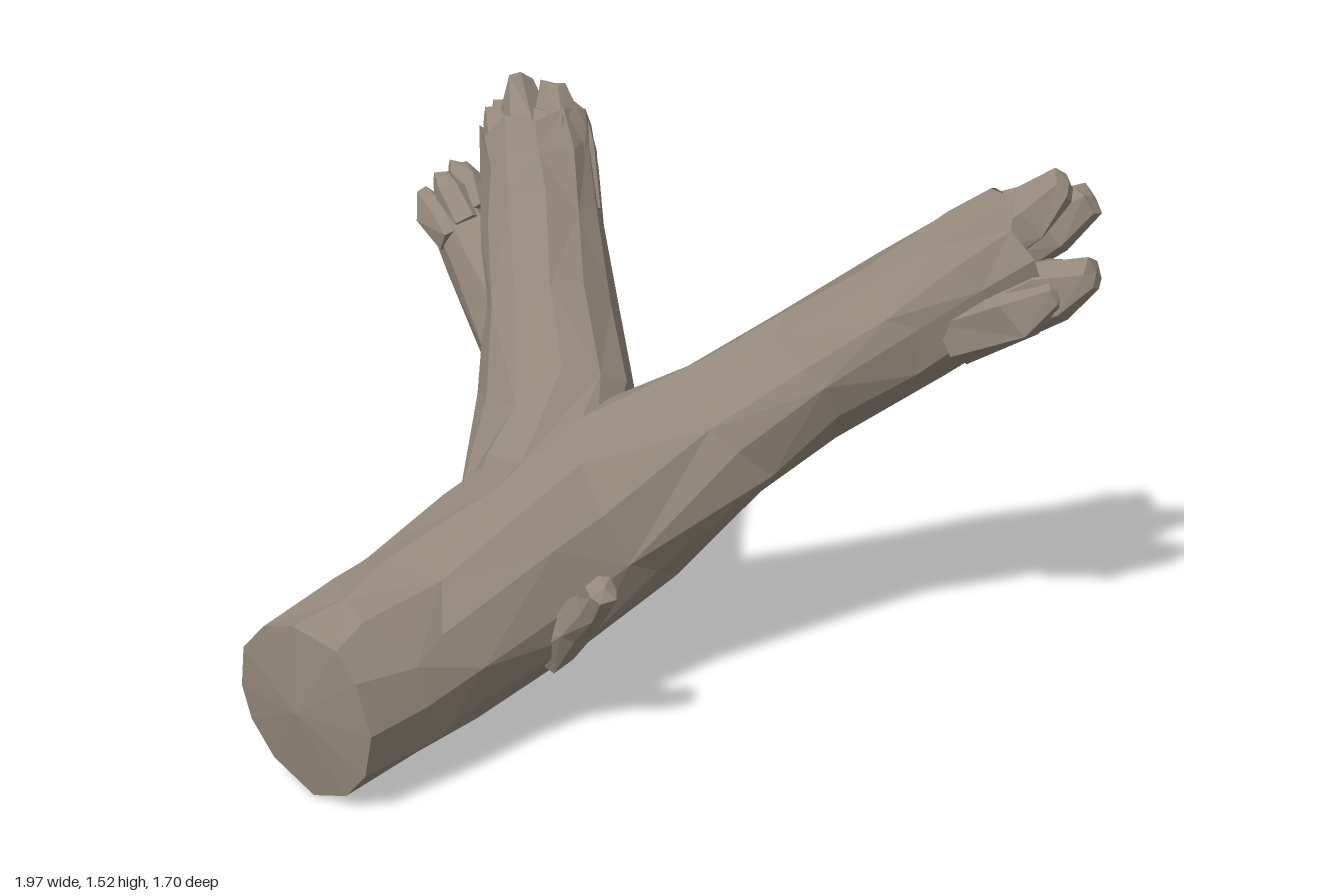
import * as THREE from 'three';

const V = (a) => new THREE.Vector3(...a);
const bark = new THREE.MeshStandardMaterial({ color: 0x94877a, flatShading: true });

// Seeded wobble in the range -1..1
function makeRandom(seed) {
  let s = seed * 7919 + 17;
  return () => {
    s = (s * 16807) % 2147483647;
    return (s / 2147483647) * 2 - 1;
  };
}

// Faceted limb through stations [x, y, z, radius]
function limb(name, stations, { sides = 12, seed = 1, wobble = 0.05, startAxis, ragged = 0, startDome = 0, endDome = 0 } = {}) {
  const rnd = makeRandom(seed);
  const centres = stations.map((s) => V(s.slice(0, 3)));
  const last = centres.length - 1;
  const pos = [];
  const index = [];
  const axes = centres.map((c, i) => {
    if (i === 0 && startAxis) return V(startAxis).normalize();
    return centres[Math.min(i + 1, last)].clone().sub(centres[Math.max(i - 1, 0)]).normalize();
  });

  centres.forEach((c, i) => {
    const t = axes[i];
    const u = new THREE.Vector3(0, 1, 0).addScaledVector(t, -t.y).normalize();
    const v = t.clone().cross(u);
    const r = stations[i][3];
    for (let j = 0; j < sides; j++) {
      const a = ((j + rnd() * 0.18) / sides) * Math.PI * 2;
      const rr = r * (1 + rnd() * wobble);
      const slide = i === 0 ? 0 : i === last ? rnd() * ragged : rnd() * r * 0.25;
      const p = c.clone().addScaledVector(u, Math.cos(a) * rr).addScaledVector(v, Math.sin(a) * rr).addScaledVector(t, slide);
      pos.push(p.x, p.y, p.z);
    }
  });

  // Side facets, with the diagonal alternating
  for (let i = 0; i < last; i++) {
    for (let j = 0; j < sides; j++) {
      const k = (j + 1) % sides;
      const a = i * sides + j, b = i * sides + k, c = b + sides, d = a + sides;
      if ((i + j) % 2) index.push(a, b, c, a, c, d);
      else index.push(a, b, d, b, c, d);
    }
  }

  // End caps fanned from a raised or sunken centre
  const first = centres[0].clone().addScaledVector(axes[0], -startDome);
  const end = centres[last].clone().addScaledVector(axes[last], endDome);
  const n = pos.length / 3;
  pos.push(first.x, first.y, first.z, end.x, end.y, end.z);
  for (let j = 0; j < sides; j++) {
    const k = (j + 1) % sides;
    index.push(n, k, j, n + 1, last * sides + j, last * sides + k);
  }

  const geo = new THREE.BufferGeometry();
  geo.setAttribute('position', new THREE.Float32BufferAttribute(pos, 3));
  geo.setIndex(index);
  geo.computeVertexNormals();
  const mesh = new THREE.Mesh(geo, bark);
  mesh.name = name;
  return mesh;
}

// Broken-off splinters running along an axis and ending at the given tips
function splinters(name, axis, length, radius, tips) {
  const group = new THREE.Group();
  group.name = name;
  const dir = V(axis).normalize();
  const mid = new THREE.Vector3();
  tips.forEach((t) => mid.add(V(t)));
  mid.divideScalar(tips.length);
  tips.forEach((t, i) => {
    const tip = V(t);
    const toMid = mid.clone().sub(tip);
    toMid.addScaledVector(dir, -toMid.dot(dir));
    const at = (f, r) => [...tip.clone().addScaledVector(dir, -length * f).addScaledVector(toMid, f * 0.35).toArray(), r];
    group.add(limb('splinter', [at(1, radius), at(0.4, radius), at(0.04, radius * 0.55)],
      { sides: 6, seed: 20 + i, wobble: 0.15, ragged: 0.015, endDome: 0.012 }));
  });
  return group;
}

export function createModel() {
  const model = new THREE.Group();
  model.name = 'forkedBranch';

  // Sawn trunk sweeping into the long branch
  model.add(limb('trunkAndLongBranch', [
    [-0.67, 0.24, 0.78, 0.238], [-0.6, 0.265, 0.6, 0.25], [-0.53, 0.3, 0.43, 0.255], [-0.38, 0.4, 0.14, 0.275],
    [-0.23, 0.505, -0.08, 0.275], [0.05, 0.71, -0.27, 0.2], [0.25, 0.86, -0.385, 0.185],
    [0.47, 1.01, -0.48, 0.185], [0.66, 1.14, -0.545, 0.185], [0.77, 1.215, -0.57, 0.18],
  ], { seed: 3, startAxis: [0.28, 0.03, -0.96], startDome: 0.03, ragged: 0.06, endDome: -0.13 }));
  model.add(splinters('longBranchBrokenEnd', [0.8, 0.56, -0.15], 0.32, 0.088, [
    [0.87, 1.4, -0.56], [0.92, 1.35, -0.62], [0.8, 1.32, -0.73],
    [0.975, 1.2, -0.47], [0.9, 1.16, -0.42],
  ]));

  // Steep upright branch
  model.add(limb('uprightBranch', [
    [-0.44, 0.35, 0.14, 0.14], [-0.38, 0.5, -0.03, 0.23], [-0.425, 0.7, -0.225, 0.22],
    [-0.53, 0.93, -0.405, 0.188], [-0.615, 1.13, -0.545, 0.175], [-0.665, 1.26, -0.635, 0.17], [-0.695, 1.35, -0.69, 0.16],
  ], { seed: 8, ragged: 0.05, endDome: -0.1 }));
  model.add(splinters('uprightBranchBrokenEnd', [-0.33, 0.8, -0.47], 0.32, 0.078, [
    [-0.76, 1.485, -0.73], [-0.65, 1.48, -0.72], [-0.83, 1.39, -0.78],
    [-0.61, 1.41, -0.76], [-0.64, 1.42, -0.65], [-0.81, 1.4, -0.68],
  ]));

  // Side fork leaving the upright branch
  model.add(limb('sideFork', [
    [-0.43, 0.66, -0.22, 0.15], [-0.61, 0.85, -0.36, 0.125], [-0.77, 1.02, -0.47, 0.1], [-0.89, 1.13, -0.55, 0.085],
  ], { sides: 8, seed: 5, ragged: 0.03, endDome: -0.03 }));
  model.add(splinters('sideForkBrokenEnd', [-0.66, 0.6, -0.45], 0.18, 0.055, [
    [-0.975, 1.17, -0.53], [-0.91, 1.24, -0.62], [-0.93, 1.22, -0.56],
  ]));

  // Small snapped twig low on the trunk
  model.add(limb('twigStub', [
    [-0.24, 0.28, 0.25, 0.1], [-0.14, 0.36, 0.3, 0.06], [-0.08, 0.43, 0.335, 0.047], [-0.035, 0.5, 0.37, 0.042],
  ], { sides: 7, seed: 11, wobble: 0.1, ragged: 0.01, endDome: 0.012 }));

  return model;
}
